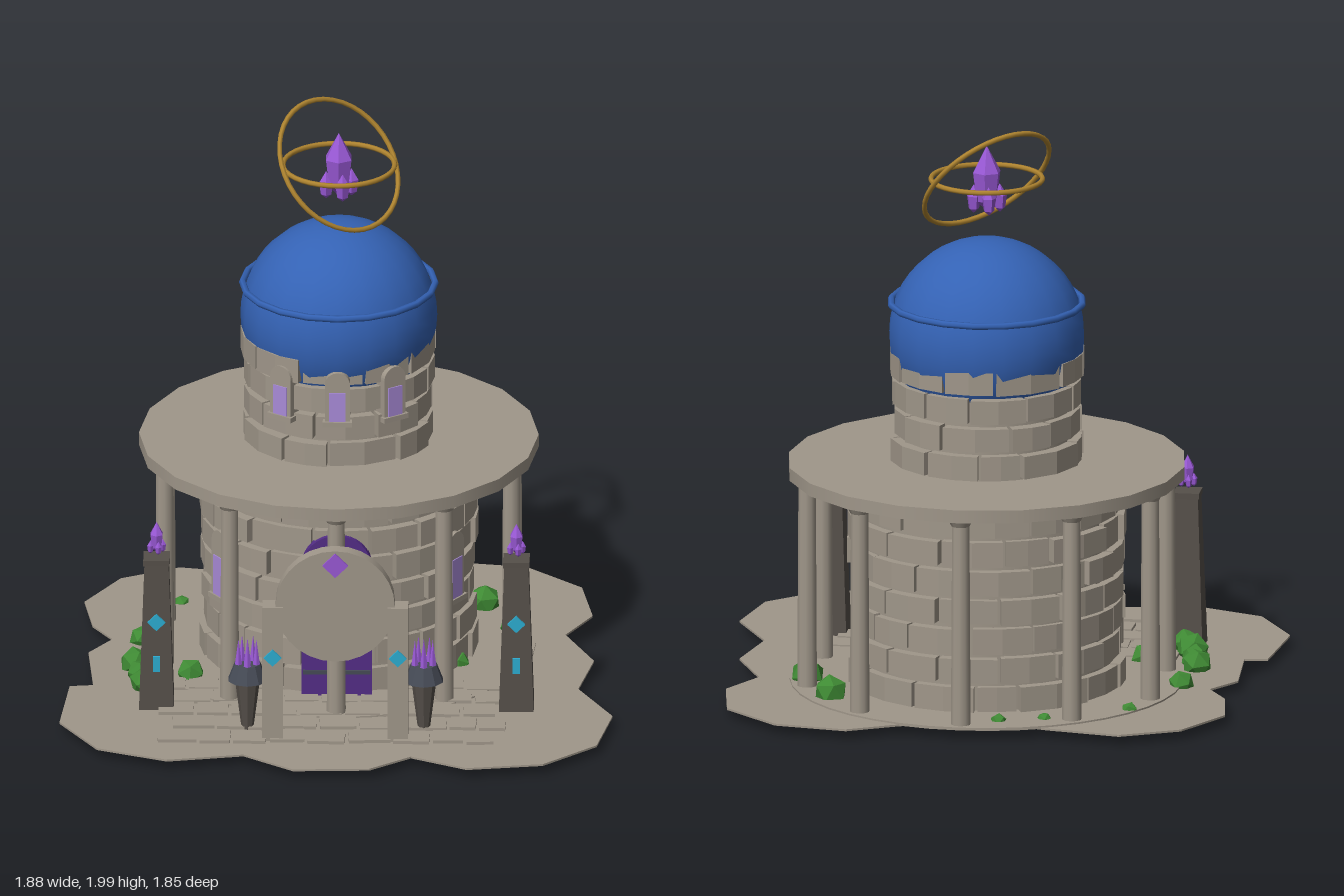
import * as THREE from 'three';

const mat = (name, color, side = THREE.FrontSide) => {
  const m = new THREE.MeshStandardMaterial({ color, side });
  m.name = name;
  return m;
};

export function createModel() {
  const stone = mat('stone', 0xa0978a), dark = mat('dark stone', 0x56504a);
  const slate = mat('slate', 0x464b56), blue = mat('dome blue', 0x3462b4);
  const purple = mat('crystal purple', 0x9858d4), pane = mat('window violet', 0xa98bd8);
  const doorMat = mat('door purple', 0x532d86), gold = mat('gold', 0xb08530);
  const cyan = mat('rune cyan', 0x2cacd0), green = mat('leaf green', 0x3f8a34);

  const root = new THREE.Group();
  root.name = 'tower';
  const CZ = -0.205; // tower axis

  let seed = 7;
  const rnd = () => (seed = (seed * 16807) % 2147483647) / 2147483647;

  const group = (name, parent = root, x = 0, y = 0, z = 0) => {
    const g = new THREE.Group();
    g.name = name;
    g.position.set(x, y, z);
    parent.add(g);
    return g;
  };
  const add = (name, geo, m, x = 0, y = 0, z = 0, parent = root) => {
    const mesh = new THREE.Mesh(geo, m);
    mesh.name = name;
    mesh.position.set(x, y, z);
    parent.add(mesh);
    return mesh;
  };
  const flat = (geo) => {
    const g = geo.index ? geo.toNonIndexed() : geo;
    g.computeVertexNormals();
    return g;
  };
  const box = (w, h, d) => new THREE.BoxGeometry(w, h, d);
  const cyl = (a, b, h, n) => new THREE.CylinderGeometry(a, b, h, n);

  // Scalloped ground plate
  const outline = [
    [-0.55, -0.87], [-0.29, -0.82], [-0.1, -0.76], [0.08, -0.78], [0.23, -0.85], [0.38, -0.93],
    [0.63, -0.89], [0.82, -0.71], [0.86, -0.46], [0.77, -0.29], [0.87, -0.06], [0.82, 0.19],
    [0.94, 0.43], [0.89, 0.69], [0.71, 0.86], [0.45, 0.9], [0.26, 0.8], [0.12, 0.91],
    [-0.14, 0.92], [-0.31, 0.79], [-0.57, 0.84], [-0.81, 0.74], [-0.94, 0.51], [-0.91, 0.19],
    [-0.83, 0.18], [-0.85, -0.11], [-0.77, -0.23], [-0.84, -0.35], [-0.87, -0.56], [-0.75, -0.77],
  ].map(([x, z]) => new THREE.Vector2(x, -z));
  const groundGeo = new THREE.ExtrudeGeometry(new THREE.Shape(outline), { depth: 0.007, bevelEnabled: false });
  add('ground', groundGeo.rotateX(-Math.PI / 2), stone, 0, 0.035, 0);
  add('plinth', cyl(0.67, 0.67, 0.01, 40), stone, 0, 0.043, CZ);

  // Paving slabs in staggered rows
  const paving = group('paving');
  [0.17, 0.285, 0.4, 0.52, 0.64].forEach((z, r) => {
    let x = -0.61 + (r % 2) * 0.05;
    while (x < 0.52) {
      const w = 0.1 + rnd() * 0.06;
      const slab = add('slab', box(w - 0.012, 0.014, 0.095), stone, x + w / 2, 0.046, z + (rnd() - 0.5) * 0.015, paving);
      slab.rotation.y = (rnd() - 0.5) * 0.1;
      x += w;
    }
  });

  // Brick courses: boxes bent around the tower axis
  const bricks = (name, y0, rows, rowH, radius, count) => {
    const g = group(name, root, 0, 0, CZ);
    for (let r = 0; r < rows; r++) {
      const cuts = [];
      for (let i = 0; i < count; i++) cuts.push((i + (r % 2) / 2 + (rnd() - 0.5) * 0.35) * Math.PI * 2 / count);
      for (let i = 0; i < count; i++) {
        const a = cuts[i], b = i + 1 < count ? cuts[i + 1] : cuts[0] + Math.PI * 2;
        const geo = box(b - a - 0.012 / radius, rowH - 0.012 - rnd() * 0.01, 0.06, 3, 1, 1);
        const bent = new THREE.BoxGeometry(b - a - 0.012 / radius, geo.parameters.height, 0.06, 2, 1, 1);
        const p = bent.attributes.position, out = radius - 0.03 + (rnd() - 0.5) * 0.02;
        for (let k = 0; k < p.count; k++) {
          const t = (a + b) / 2 + p.getX(k), q = out + p.getZ(k);
          p.setXYZ(k, Math.sin(t) * q, p.getY(k), Math.cos(t) * q);
        }
        add('brick', flat(bent), stone, 0, y0 + (r + 0.5) * rowH, 0, g);
      }
    }
  };
  add('lowerCore', cyl(0.44, 0.44, 0.73, 32), stone, 0, 0.405, CZ);
  bricks('lowerWall', 0.04, 7, 0.102, 0.467, 14);
  add('upperCore', cyl(0.29, 0.29, 0.36, 28), stone, 0, 0.99, CZ);
  bricks('upperWall', 0.815, 4, 0.1, 0.325, 10);

  // Colonnade and round roof plate
  add('roofPlate', cyl(0.68, 0.68, 0.045, 20), stone, 0, 0.792, CZ);
  for (let i = 0; i < 10; i++) {
    const a = i * Math.PI / 5;
    const c = group('column', root, Math.sin(a) * 0.62, 0, CZ + Math.cos(a) * 0.62);
    c.rotation.y = a;
    add('shaft', cyl(0.03, 0.034, 0.71, 10), stone, 0, 0.4, 0, c);
    add('capital', cyl(0.045, 0.032, 0.025, 10), stone, 0, 0.758, 0, c);
  }

  // Dome with rim band
  add('dome', new THREE.SphereGeometry(0.335, 20, 16, 0, Math.PI * 2, 0, 2.1), blue, 0, 1.257, CZ);
  const band = add('domeBand', new THREE.TorusGeometry(0.328, 0.012, 6, 20), blue, 0, 1.37, CZ);
  band.rotation.x = Math.PI / 2;

  // Crystal cluster: tall faceted core with small shards around its foot
  const shard = (r, h, n = 6) => flat(new THREE.LatheGeometry([[0, 0], [r * 0.75, h * 0.16], [r, h * 0.6], [0, h]]
    .map(([x, y]) => new THREE.Vector2(x, y)), n));
  const crystal = (parent, x, y, z, s) => {
    const g = group('crystal', parent, x, y, z);
    g.scale.setScalar(s);
    add('core', shard(0.05, 0.23), purple, 0, 0, 0, g);
    for (let i = 0; i < 4; i++) {
      const a = i * Math.PI / 2 + 0.3;
      add('shard', shard(0.025, 0.1, 5), purple, Math.sin(a) * 0.045, -0.005, Math.cos(a) * 0.045, g);
    }
  };
  crystal(root, 0, 1.69, CZ, 1);

  // Gold rings, one level and one tilted
  const ringLevel = add('levelRing', new THREE.TorusGeometry(0.19, 0.009, 6, 36), gold, 0, 1.803, CZ);
  ringLevel.rotation.x = Math.PI / 2;
  const ringTilt = add('tiltedRing', new THREE.TorusGeometry(0.24, 0.009, 6, 40), gold, 0, 1.803, CZ);
  ringTilt.quaternion.setFromUnitVectors(new THREE.Vector3(0, 0, 1), new THREE.Vector3(0.55, 0.63, 0.55).normalize());

  // Arched plates for windows and the door; origin at the sill
  const arch = (w, h, d) => {
    const s = new THREE.Shape();
    s.moveTo(-w, 0);
    s.lineTo(w, 0);
    s.lineTo(w, h - w);
    s.absarc(0, h - w, w, 0, Math.PI, false);
    s.lineTo(-w, 0);
    return new THREE.ExtrudeGeometry(s, { depth: d, bevelEnabled: false, curveSegments: 8 });
  };
  const windowAt = (angle, radius, y, h) => {
    const g = group('window', root, Math.sin(angle) * radius, y, CZ + Math.cos(angle) * radius);
    g.rotation.y = angle;
    add('frame', arch(0.043, h, 0.05), stone, 0, 0, -0.03, g);
    add('pane', box(0.056, h * 0.58, 0.006), pane, 0, h * 0.33, 0.021, g);
    add('sill', box(0.1, 0.018, 0.06), stone, 0, 0.004, 0, g);
  };
  [-0.61, 0, 0.61].forEach((a) => windowAt(a, 0.32, 0.985, 0.19));
  [-0.98, 0.98].forEach((a) => windowAt(a, 0.468, 0.315, 0.25));

  // Door
  const door = group('door', root, 0, 0.045, 0.24);
  add('doorLeaf', arch(0.12, 0.59, 0.035), doorMat, 0, 0, 0, door);
  [0.09, 0.4].forEach((y) => add('doorStrap', box(0.23, 0.014, 0.008), slate, 0, y, 0.038, door));
  add('doorKnob', new THREE.SphereGeometry(0.011, 8, 6), gold, 0.075, 0.25, 0.042, door);

  // Gate: upright disc between two pillars
  const gate = group('gate', root, 0, 0, 0.635);
  const disc = add('gateDisc', cyl(0.203, 0.203, 0.05, 28), stone, 0, 0.535, 0, gate);
  disc.rotation.x = Math.PI / 2;
  const diamond = (name, s, m, x, y, z, parent) => {
    add(name, box(s, s, 0.009), m, x, y, z, parent).rotation.z = Math.PI / 4;
  };
  diamond('gateGem', 0.062, purple, 0, 0.687, 0.03, gate);

  for (const s of [-1, 1]) {
    add('gatePillar', box(0.07, 0.49, 0.07), stone, s * 0.213, 0.287, 0, gate);
    diamond('pillarRune', 0.043, cyan, s * 0.213, 0.35, 0.039, gate);

    // Obelisk with runes and a crystal
    const ob = group('obelisk', root, s * 0.612, 0, 0.34);
    add('obeliskBody', flat(cyl(0.058, 0.084, 0.53, 4).rotateY(Math.PI / 4)), dark, 0, 0.305, 0, ob);
    add('obeliskCap', box(0.09, 0.02, 0.09), dark, 0, 0.575, 0, ob);
    diamond('obeliskRune', 0.043, cyan, 0, 0.362, 0.053, ob);
    add('obeliskMark', box(0.024, 0.055, 0.009), cyan, 0, 0.21, 0.056, ob);
    crystal(ob, 0, 0.6, 0, 0.48);

    // Brazier with crystal flames
    const br = group('brazier', root, s * 0.3, 0, 0.55);
    add('brazierStem', flat(cyl(0.044, 0.02, 0.19, 8)), dark, 0, 0.135, 0, br);
    add('brazierBowl', flat(cyl(0.045, 0.068, 0.06, 10)), slate, 0, 0.25, 0, br);
    for (let i = 0; i < 6; i++) {
      const a = i * Math.PI / 2.5, r = i < 5 ? 0.032 : 0;
      add('flame', flat(new THREE.ConeGeometry(0.014, 0.1, 5)), purple, Math.sin(a) * r, 0.322, Math.cos(a) * r, br);
    }
  }

  // Low-poly bushes [x, z, radius]
  [[-0.69, 0.02, 0.055], [-0.67, 0.11, 0.05], [-0.65, 0.2, 0.058], [-0.615, 0.29, 0.055],
    [-0.67, -0.21, 0.045], [-0.5, 0.1, 0.05], [-0.54, -0.55, 0.03], [-0.27, -0.71, 0.028],
    [-0.12, -0.76, 0.03], [0.6, -0.31, 0.06], [0.49, -0.53, 0.06], [0.6, 0.02, 0.03], [0.41, -0.02, 0.04],
  ].forEach(([x, z, r]) => {
    const y = 0.02 + r * 0.75;
    const bush = add('bush', flat(new THREE.IcosahedronGeometry(r, 0)), green, x, y, z);
    bush.rotation.set(rnd(), rnd() * 3, rnd());
  });

  return root;
}
